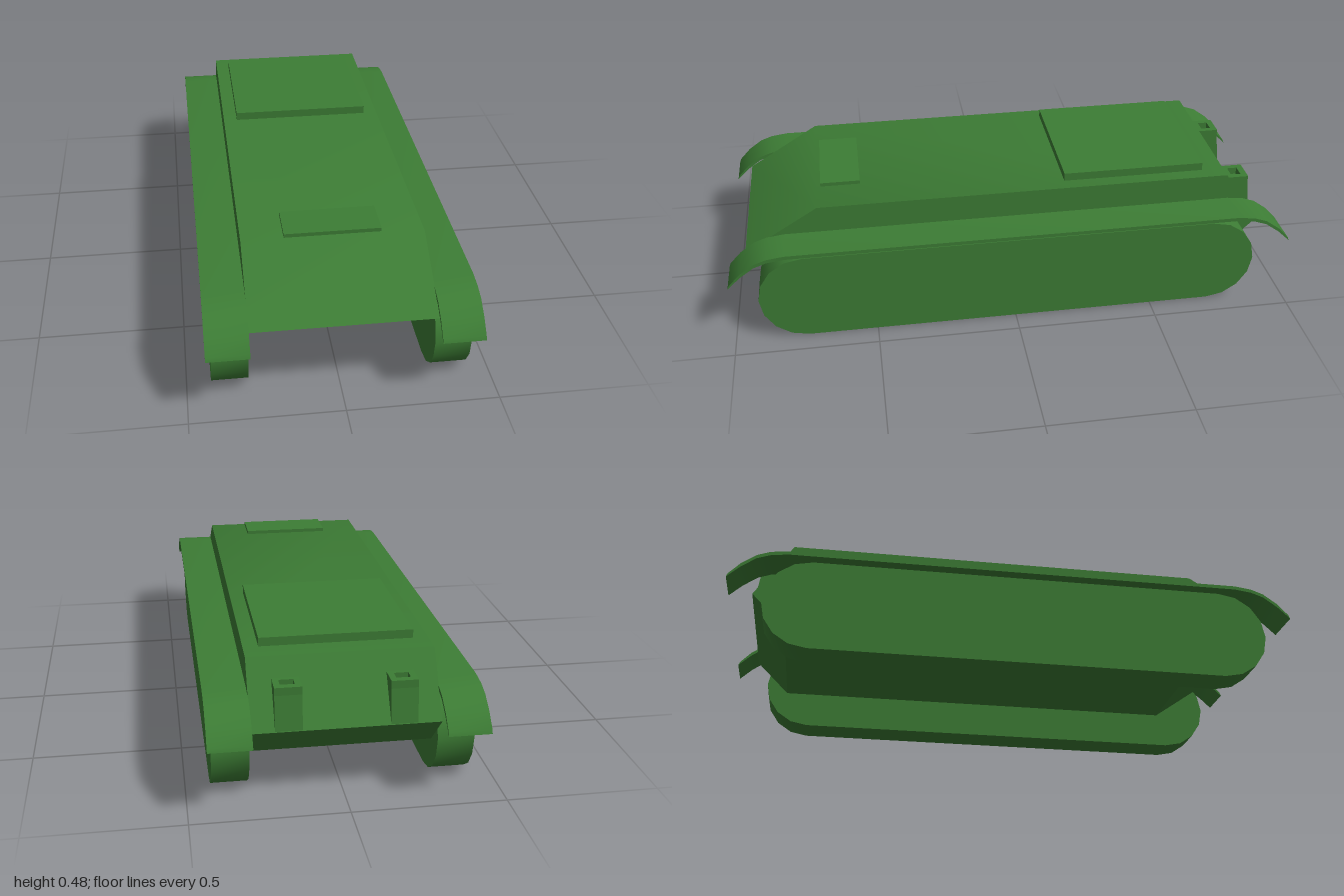
import * as THREE from 'three';
import { toCreasedNormals } from 'three/addons/utils/BufferGeometryUtils.js';

export function createModel() {
  const group = new THREE.Group();
  const green = new THREE.MeshStandardMaterial({ color: 0x3d7d35 });
  green.name = 'hullGreen';

  const add = (name, geometry) => {
    const mesh = new THREE.Mesh(geometry, green);
    mesh.name = name;
    group.add(mesh);
    return mesh;
  };

  // Extrudes a side profile of [z, y] points across x0..x1
  const sideProfile = (points, x0, x1) => {
    const shape = new THREE.Shape(points.map(([z, y]) => new THREE.Vector2(z, y)));
    const geo = new THREE.ExtrudeGeometry(shape, { depth: x1 - x0, bevelEnabled: false });
    geo.rotateY(-Math.PI / 2).translate(x1, 0, 0);
    return toCreasedNormals(geo, 0.6);
  };

  const box = (name, w, h, d, y, z) =>
    add(name, new THREE.BoxGeometry(w, h, d)).position.set(0, y, z);

  // Hull with sloped nose and tail
  add('hull', sideProfile([
    [0.71, 0.13], [0.94, 0.29], [0.68, 0.45],
    [-0.79, 0.45], [-0.92, 0.25], [-0.8, 0.13],
  ], -0.3, 0.3));

  // Raised deck plates
  box('engineDeck', 0.5, 0.04, 0.51, 0.459, -0.455);
  box('driverHatch', 0.32, 0.023, 0.14, 0.4515, 0.595);

  // Track outline: two half rounds joined by straight runs
  const r = 0.163, track = [];
  for (const [centre, start] of [[0.742, -Math.PI / 2], [-0.715, Math.PI / 2]]) {
    for (let i = 0; i <= 8; i++) {
      const a = start + (i / 8) * Math.PI;
      track.push([centre + r * Math.cos(a), r + r * Math.sin(a)]);
    }
  }

  // Fender: thin sheet with drooping ends
  const droop = [[0.995, 0.25], [0.955, 0.293], [0.905, 0.329], [0.86, 0.345], [0.8, 0.353]];
  const upper = [...droop, ...droop.map(([z, y]) => [-z, y]).reverse()];
  const lower = upper.map(([z, y]) => {
    const end = Math.abs(z) > 0.99;
    return [end ? Math.sign(z) : z, y - 0.013];
  }).reverse();
  const fender = [...upper, ...lower];

  for (const [side, s] of [['left', 1], ['right', -1]]) {
    const span = (a, b) => (s > 0 ? [a, b] : [-b, -a]);
    add(side + 'Track', sideProfile(track, ...span(0.3, 0.42)));
    add(side + 'Fender', sideProfile(fender, ...span(0.299, 0.437)));

    // Exhaust: solid lower body under a square open mouth
    add(side + 'ExhaustBody', sideProfile([
      [-0.82, 0.365], [-0.82, 0.25], [-0.919, 0.25], [-0.903, 0.365],
    ], ...span(0.138, 0.224)));
    const rim = new THREE.Shape([
      [-0.043, -0.0415], [0.043, -0.0415], [0.043, 0.0415], [-0.043, 0.0415],
    ].map(p => new THREE.Vector2(...p)));
    rim.holes.push(new THREE.Path([
      [-0.023, -0.018], [-0.023, 0.018], [0.023, 0.018], [0.023, -0.018],
    ].map(p => new THREE.Vector2(...p))));
    const mouth = new THREE.ExtrudeGeometry(rim, { depth: 0.026, bevelEnabled: false });
    mouth.rotateX(-Math.PI / 2);
    add(side + 'ExhaustMouth', mouth).position.set(s * 0.181, 0.365, -0.8615);
  }
  return group;
}
